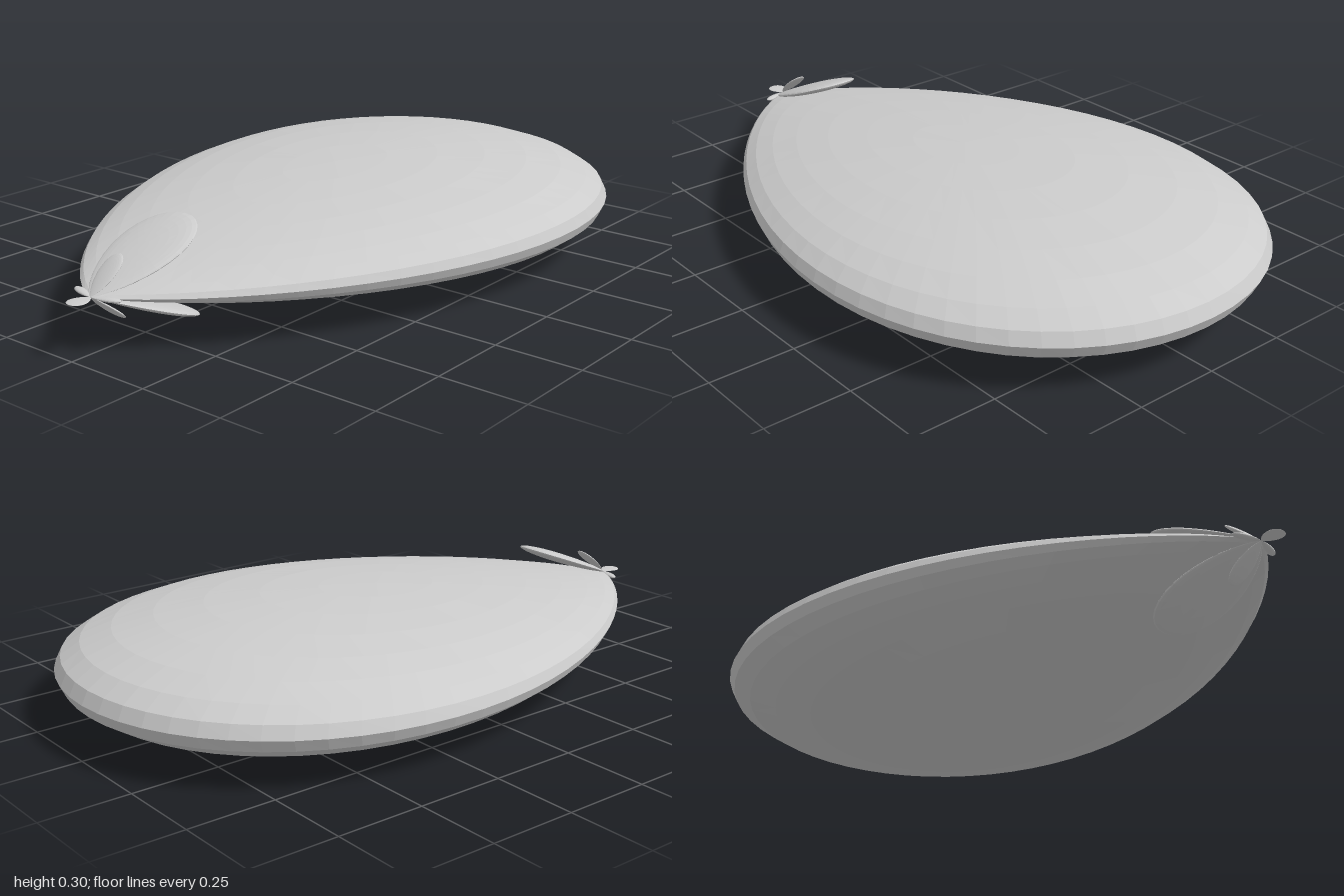
import * as THREE from 'three';

const material = new THREE.MeshStandardMaterial({ color: 0xcccccc, flatShading: true });
const TIP = new THREE.Vector3(-0.93, 0.155, 0);

// Flattened sphere narrowed towards its tip, which sits at the origin; it grows along +x.
function teardrop(length, halfThick, halfWidth, columns, rows) {
  const sphere = new THREE.SphereGeometry(1, columns, rows);
  const pos = sphere.attributes.position;
  for (let i = 0; i < pos.count; i++) {
    const x = pos.getX(i);
    const s = Math.max(0, (1 + x) / 2);
    pos.setXYZ(
      i,
      s * length,
      (pos.getY(i) * Math.pow(s, 0.42) * halfThick) / 0.796,
      (pos.getZ(i) * Math.pow(s, 0.28) * halfWidth) / 0.849
    );
  }
  const geometry = sphere.toNonIndexed();
  geometry.computeVertexNormals();
  return geometry;
}

export function createModel() {
  const group = new THREE.Group();

  // Every part starts at the shared tip, turned by yaw and lifted by tilt.
  function addPart(name, size, yaw = 0, tilt = 0, columns = 32, rows = 16) {
    const mesh = new THREE.Mesh(teardrop(...size, columns, rows), material);
    mesh.name = name;
    mesh.position.copy(TIP);
    mesh.rotation.set(0, yaw, tilt);
    group.add(mesh);
  }

  // Main flattened body
  addPart('body', [1.92, 0.151, 0.66], 0, 0, 64, 16);

  // Paired leaves above and below the body
  for (const side of [1, -1]) {
    const suffix = side > 0 ? 'Upper' : 'Lower';
    addPart('largeLeaf' + suffix, [0.366, 0.015, 0.11], 0, side * 0.375);
    addPart('smallLeaf' + suffix, [0.136, 0.006, 0.031], 0, side * 0.68);
  }

  // Tiny leaves around the tip
  for (const side of [1, -1]) {
    addPart(side > 0 ? 'frontLeaflet' : 'backLeaflet', [0.087, 0.006, 0.012], -side * 1.26);
  }
  addPart('endLeaflet', [0.07, 0.003, 0.027], Math.PI);

  return group;
}
